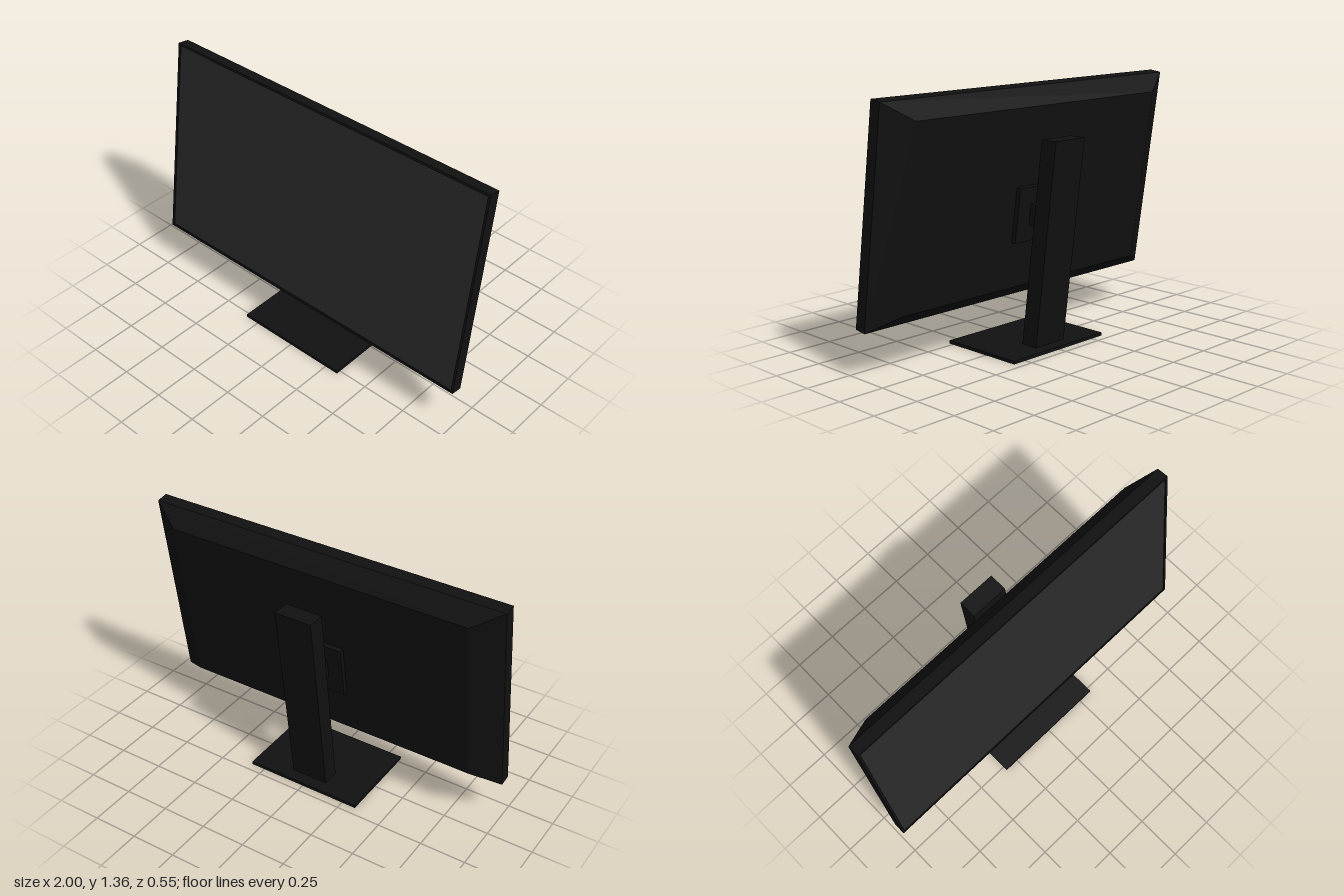
import * as THREE from 'three';

const black = new THREE.MeshStandardMaterial({ color: 0x111111 });
const screenGrey = new THREE.MeshStandardMaterial({ color: 0x292929 });

function addMesh(parent, name, geometry, material, x = 0, y = 0, z = 0) {
  const mesh = new THREE.Mesh(geometry, material);
  mesh.name = name;
  mesh.position.set(x, y, z);
  parent.add(mesh);
  return mesh;
}

// Skins a run of rectangles [halfWidth, halfHeight, z] and closes the last one
function rectLoft(sections) {
  const rings = sections.map(([w, h, z]) => [[-w, -h, z], [w, -h, z], [w, h, z], [-w, h, z]]);
  const pos = [];
  const quad = (a, b, c, d) => pos.push(...a, ...b, ...c, ...a, ...c, ...d);
  for (let s = 0; s < rings.length - 1; s++) {
    const A = rings[s], B = rings[s + 1];
    for (let i = 0; i < 4; i++) {
      const j = (i + 1) % 4;
      quad(A[i], B[i], B[j], A[j]);
    }
  }
  const [p, q, r, t] = rings[rings.length - 1];
  quad(p, t, r, q);
  const g = new THREE.BufferGeometry();
  g.setAttribute('position', new THREE.Float32BufferAttribute(pos, 3));
  g.computeVertexNormals();
  return g;
}

export function createModel() {
  const model = new THREE.Group();
  model.name = 'monitor';

  // Flat foot
  addMesh(model, 'base', new THREE.BoxGeometry(0.66, 0.017, 0.48), black, 0, 0.0085, 0.035);

  // Leaning column with level ends
  const column = new THREE.BoxGeometry(0.208, 1.095, 0.097).translate(0, 0.5525, 0);
  const p = column.attributes.position;
  for (let i = 0; i < p.count; i++) p.setZ(i, p.getZ(i) - 0.1255 * p.getY(i));
  column.computeVertexNormals();
  addMesh(model, 'column', column, black, 0, 0, -0.086);

  // Tilted display head; its origin is the middle of the front face
  const head = new THREE.Group();
  head.name = 'displayHead';
  head.position.set(0, 0.8025, 0.11);
  head.rotation.x = -0.1426;
  model.add(head);

  // Housing: recessed bezel, straight rim, sloped back
  addMesh(head, 'housing', rectLoft([
    [0.987, 0.55, -0.006],
    [0.987, 0.55, 0],
    [1, 0.563, 0],
    [1, 0.563, -0.065],
    [0.85, 0.48, -0.147],
  ]), black);
  addMesh(head, 'screen', new THREE.PlaneGeometry(1.974, 1.1), screenGrey, 0, 0, -0.005);

  // Square mounting plate
  addMesh(head, 'mountPlate', new THREE.BoxGeometry(0.293, 0.293, 0.03), black, 0, -0.079, -0.158);

  // Round-ended tilt joint between plate and column
  const r = 0.056;
  const profile = new THREE.Shape();
  profile.moveTo(0, -r);
  profile.lineTo(0.035, -r);
  profile.absarc(0.035, 0, r, -Math.PI / 2, Math.PI / 2, false);
  profile.lineTo(0, r);
  profile.closePath();
  const joint = new THREE.ExtrudeGeometry(profile, { depth: 0.12, bevelEnabled: false, curveSegments: 16 });
  joint.translate(0, 0, -0.06).rotateY(Math.PI / 2);
  addMesh(head, 'tiltJoint', joint, black, 0, -0.079, -0.17);

  return model;
}
